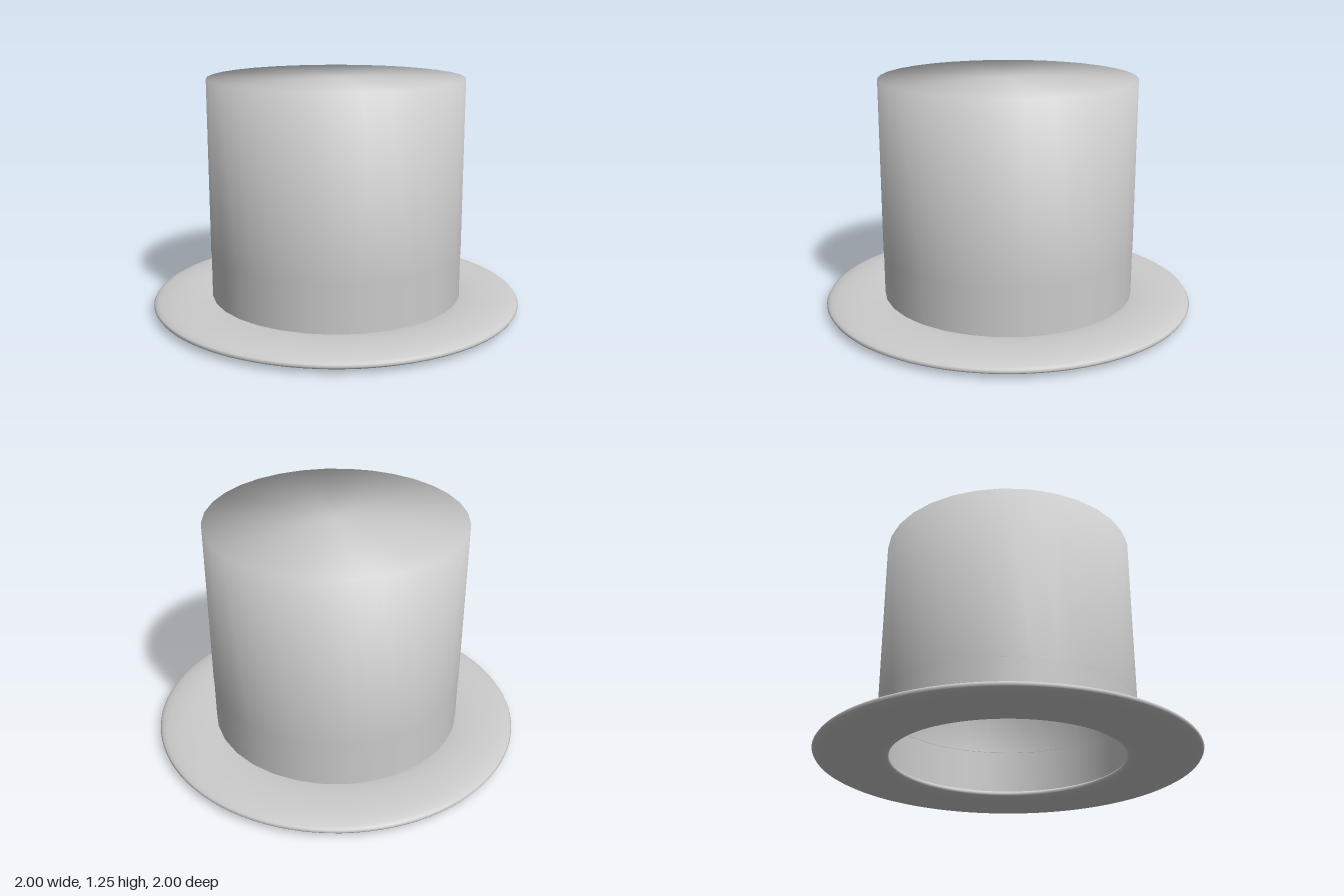
import * as THREE from 'three';

const material = new THREE.MeshStandardMaterial({ color: 0xcccccc, side: THREE.DoubleSide });
const SIDES = 32;

function addPart(group, name, geometry) {
  const mesh = new THREE.Mesh(geometry, material);
  mesh.name = name;
  group.add(mesh);
}

export function createModel() {
  const group = new THREE.Group();
  group.name = 'topHat';

  // Brim: a flattened ring with an open centre
  const tube = 0.193;
  const brim = new THREE.TorusGeometry(1 - tube, tube, 24, 96);
  brim.rotateX(Math.PI / 2);
  brim.scale(1, 0.04 / tube, 1);
  brim.translate(0, 0.04, 0);
  addPart(group, 'brim', brim);

  // Band: plain straight wall between brim and crown
  const bandBottom = 0.05, bandTop = 0.31;
  const band = new THREE.CylinderGeometry(0.683, 0.683, bandTop - bandBottom, SIDES, 1, true);
  band.translate(0, (bandTop + bandBottom) / 2, 0);
  addPart(group, 'band', band);

  // Crown: thin shell, closed on top, shaded smoothly around its rims
  const profile = [
    [0, 1.242], [0.677, 1.242], [0.677, 0.31],
    [0.685, 0.31], [0.685, 1.25], [0, 1.25],
  ].map(([r, y]) => new THREE.Vector2(r, y));
  addPart(group, 'crown', new THREE.LatheGeometry(profile, SIDES));

  return group;
}
